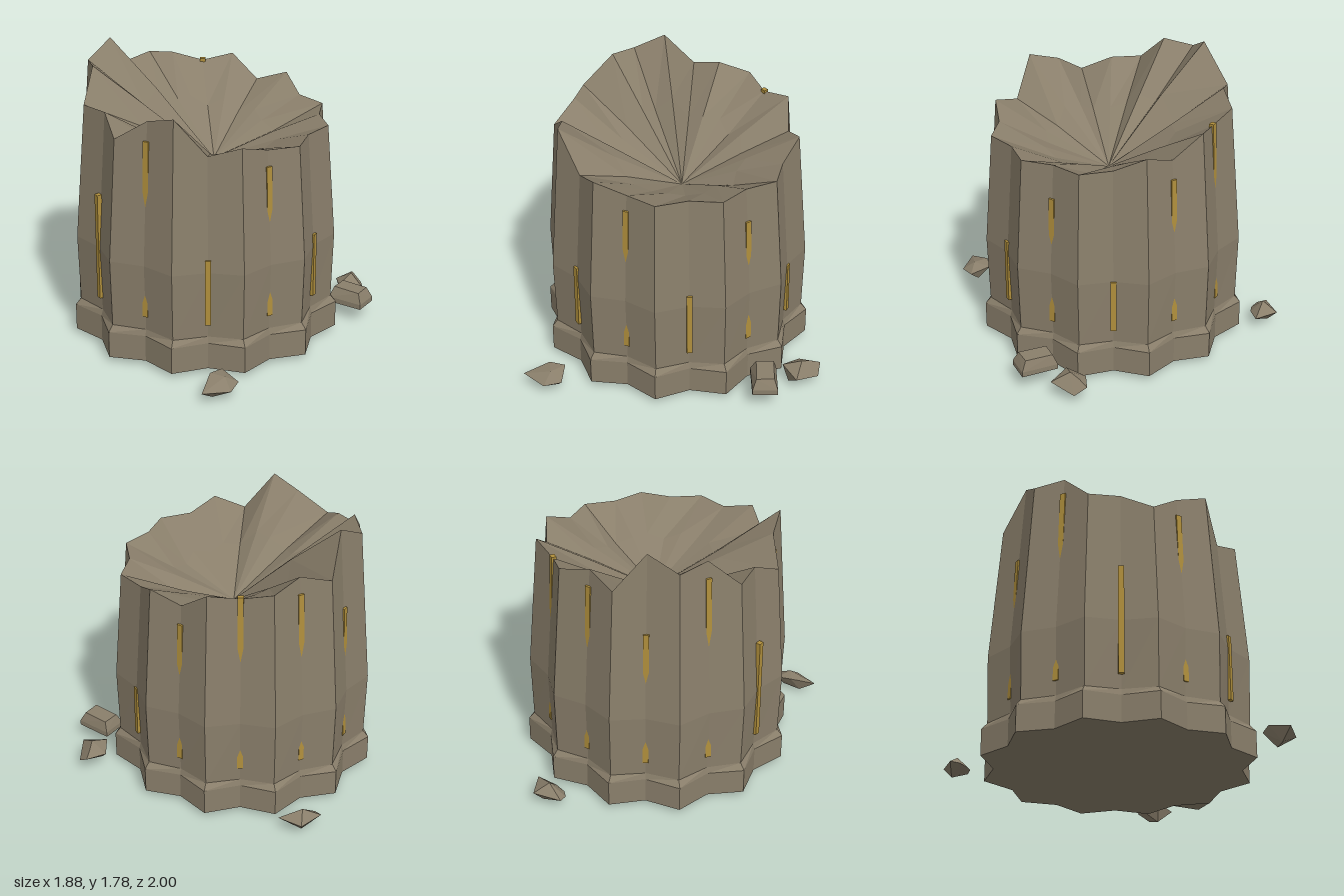
import * as THREE from 'three';
import { ConvexGeometry } from 'three/addons/geometries/ConvexGeometry.js';

const CX = -0.1, CZ = 0.04;            // column axis
const START = -7.4 * Math.PI / 180;    // angle of the first ridge
const SIDES = 24;                      // 12 ridges alternating with 12 grooves
const angle = i => START + i * Math.PI * 2 / SIDES;

// Broken rim heights: ridge, groove, ridge, groove...
const RIM = [
  1.48, 1.39, 1.385, 1.385, 1.385, 1.385, 1.385, 1.39,
  1.45, 1.39, 1.625, 1.57, 1.44, 1.537, 1.53, 1.71,
  1.685, 1.785, 1.55, 1.61, 1.56, 1.515, 1.55, 1.412,
];
const GROOVE = 0.917;
const shaftRadius = y => 0.828 - 0.08 * (y - 0.67);

// One fluted ring: ridge radius, groove ratio, constant height
const ring = (r, ratio, y) => Array.from({ length: SIDES }, (_, i) => {
  const q = i % 2 ? r * ratio : r;
  return new THREE.Vector3(CX + q * Math.cos(angle(i)), y, CZ + q * Math.sin(angle(i)));
});
const point = (x, y, z) => Array.from({ length: SIDES }, () => new THREE.Vector3(x, y, z));

// Skin a list of rings with flat facets
function loft(rings) {
  const p = [];
  const tri = (a, b, c) => {
    const area = b.clone().sub(a).cross(c.clone().sub(a)).length();
    if (area > 1e-8) for (const v of [a, b, c]) p.push(v.x, v.y, v.z);
  };
  for (let k = 0; k + 1 < rings.length; k++) {
    for (let i = 0; i < SIDES; i++) {
      const j = (i + 1) % SIDES;
      tri(rings[k][i], rings[k + 1][i], rings[k][j]);
      tri(rings[k][j], rings[k + 1][i], rings[k + 1][j]);
    }
  }
  const g = new THREE.BufferGeometry();
  g.setAttribute('position', new THREE.Float32BufferAttribute(p, 3));
  g.computeVertexNormals();
  return g;
}

export function createModel() {
  const model = new THREE.Group();
  model.name = 'brokenColumn';
  const stone = new THREE.MeshStandardMaterial({ color: 0x8a7f6b });
  stone.name = 'stone';
  const gold = new THREE.MeshStandardMaterial({ color: 0xb08f3c });
  gold.name = 'gold';
  const add = (name, geometry, material) => {
    const mesh = new THREE.Mesh(geometry, material);
    mesh.name = name;
    model.add(mesh);
    return mesh;
  };

  // Base plinth with a bevelled upper edge
  const foot = ring(0.817, 0.912, 0.24);
  add('base', loft([
    point(CX, 0.03, CZ), ring(0.852, 0.888, 0.03), ring(0.852, 0.888, 0.2), foot,
  ]), stone);

  // Shaft swelling at mid height, ending in the jagged rim
  const rim = RIM.map((y, i) => ring(shaftRadius(y), GROOVE, y)[i]);
  add('shaft', loft([foot, ring(0.828, GROOVE, 0.67), rim]), stone);

  // Fracture surface sloping down to a low point
  const apex = point(-0.053, 1.1, 0.07);
  const middle = rim.map((v, i) => {
    const m = v.clone().lerp(apex[i], 0.45);
    m.y += 0.02 * Math.sin(i * 2.3);
    return m;
  });
  add('brokenTop', loft([rim, middle, apex]), stone);

  // Gold inlay strip in each groove; long ones lean in and sink into the swelling
  const tops = [0.67, 1.17, 0.745, 1.29, 0.75, 1.45, 1.02, 1.6, 1.26, 1.5, 1.53, 1.29];
  tops.forEach((top, k) => {
    const bottom = 0.33, h = top - bottom, long = top > 1.1;
    const r0 = long ? 0.743 : 0.757;
    const r1 = long ? shaftRadius(top) * GROOVE : 0.755;
    const a = angle(2 * k + 1), r = (r0 + r1) / 2;
    const strip = add('goldInlay', new THREE.BoxGeometry(0.03, h, 0.036), gold);
    strip.position.set(CX + r * Math.cos(a), bottom + h / 2, CZ + r * Math.sin(a));
    strip.rotation.set(0, -a, Math.atan2(r0 - r1, h), 'YXZ');
  });

  // Fallen fragments around the base
  const rocks = {
    frontLeftRubble: [
      [-0.84, 0.08, 0.925], [-0.7, 0.13, 0.83], [-0.6, 0.12, 0.82], [-0.58, 0.08, 0.95],
      [-0.68, 0.07, 1], [-0.74, 0.015, 0.9], [-0.62, 0.025, 0.9], [-0.66, 0.13, 0.92]],
    sideRubble: [
      [0.71, 0.12, 0.44], [0.75, 0, 0.44], [0.83, 0.165, 0.43], [0.79, 0.1, 0.33],
      [0.93, 0.11, 0.34], [0.935, 0.06, 0.42], [0.825, 0.1, 0.55], [0.88, 0.14, 0.38]],
    blockRubble: [
      [0.525, 0.097, 0.54], [0.68, 0.097, 0.49], [0.745, 0.097, 0.715], [0.595, 0.097, 0.76],
      [0.525, 0.13, 0.54], [0.68, 0.13, 0.49], [0.745, 0.13, 0.715], [0.595, 0.13, 0.76],
      [0.565, 0.195, 0.55], [0.67, 0.195, 0.52], [0.715, 0.195, 0.69], [0.61, 0.195, 0.725]],
    backRubble: [
      [0.04, 0.08, -0.97], [0.04, 0.07, -0.91], [0.22, 0.09, -1], [0.28, 0.09, -0.845],
      [0.15, 0.07, -0.84], [0.08, 0.06, -0.86], [0.15, 0.145, -0.92], [0.18, 0.025, -0.95]],
  };
  for (const [name, pts] of Object.entries(rocks)) {
    add(name, new ConvexGeometry(pts.map(p => new THREE.Vector3(...p))), stone);
  }
  return model;
}
